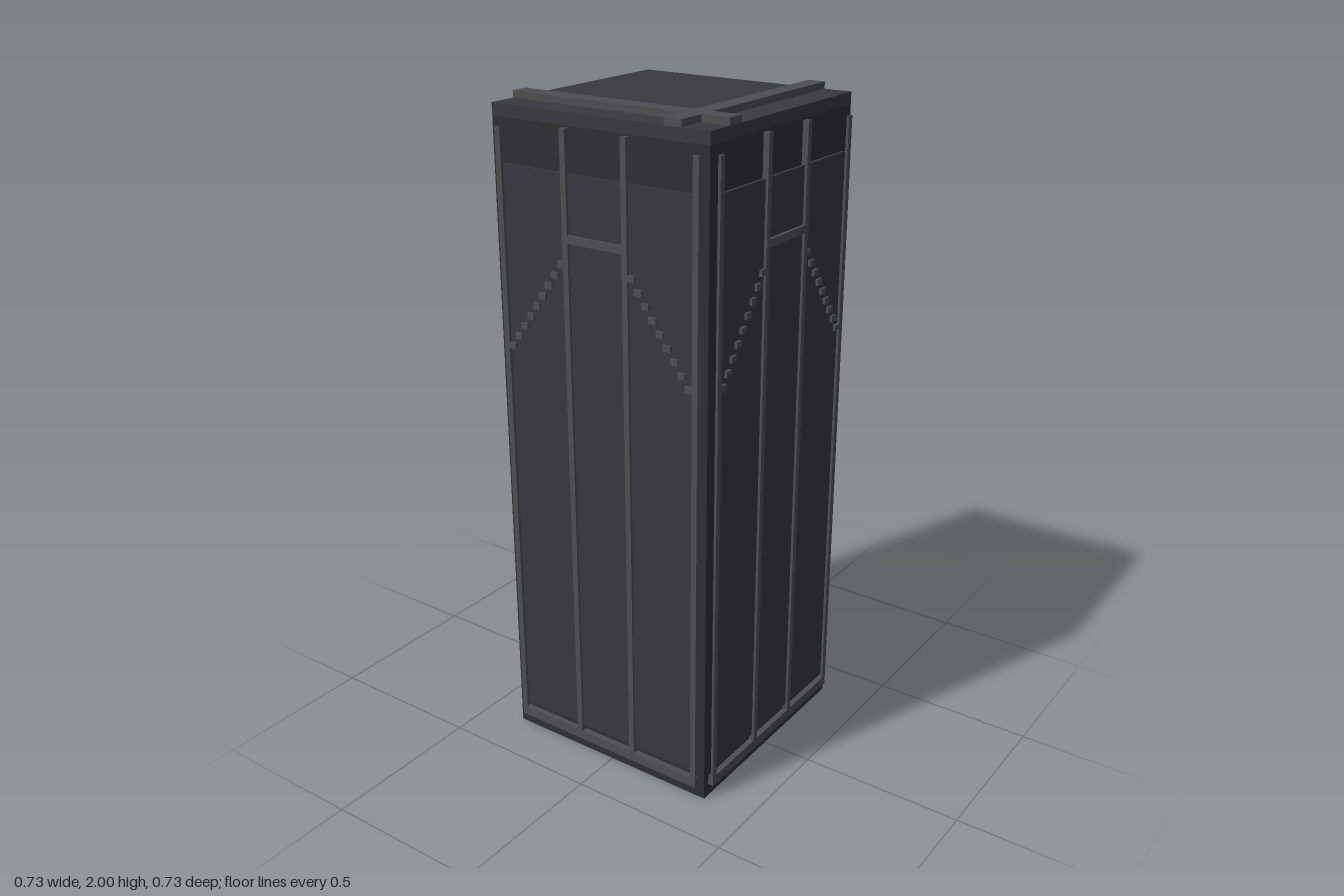
import * as THREE from 'three';

const C = -0.012; // centre of the body in x and z
const HALF = 0.355; // half width of the body

const mat = (color) => new THREE.MeshStandardMaterial({ color });

export function createModel() {
  const root = new THREE.Group();
  root.name = 'tower';
  const bodyMat = mat(0x2f2f32);
  const panelMat = mat(0x39383d);
  const trimMat = mat(0x4e4d51);

  // box given by its low and high corners
  const box = (parent, name, material, x0, x1, y0, y1, z0, z1) => {
    const mesh = new THREE.Mesh(new THREE.BoxGeometry(x1 - x0, y1 - y0, z1 - z0), material);
    mesh.position.set((x0 + x1) / 2, (y0 + y1) / 2, (z0 + z1) / 2);
    mesh.name = name;
    parent.add(mesh);
    return mesh;
  };

  const shell = new THREE.Group();
  shell.name = 'shell';
  shell.position.set(C, 0, C);
  root.add(shell);

  // body and roof slab
  box(shell, 'body', bodyMat, -HALF, HALF, 0, 1.945, -HALF, HALF);
  box(shell, 'roofSlab', panelMat, -HALF, HALF, 1.945, 1.98, -HALF, HALF);

  // crossing roof beams
  box(shell, 'roofBeamAlongX', trimMat, -HALF, HALF, 1.98, 2, 0.214, 0.268);
  box(shell, 'roofBeamAlongZ1', trimMat, 0.215, 0.269, 1.98, 2, -HALF, 0.214);
  box(shell, 'roofBeamAlongZ2', trimMat, 0.215, 0.269, 1.98, 2, 0.268, HALF);

  // one decorated side, built facing +z
  const makeFacade = (name) => {
    const g = new THREE.Group();
    g.name = name;
    const z0 = HALF, z1 = 0.365, z2 = 0.373;
    box(g, 'panel', panelMat, -0.315, 0.315, 0.09, 1.82, z0, z1);
    box(g, 'baseRail', trimMat, -0.333, 0.333, 0.04, 0.07, z0, z2);
    box(g, 'crossBar', trimMat, -0.109, 0.109, 1.634, 1.656, z1, z2 + 0.002);
    for (const s of [-1, 1]) {
      // inner and outer upright strips
      box(g, 'innerStrip', trimMat, s * 0.1 - 0.009, s * 0.1 + 0.009, 0.07, 1.94, z0, z2);
      box(g, 'outerStrip', trimMat, s * 0.325 - 0.009, s * 0.325 + 0.009, 0.04, 1.92, z1, z2);
      // stepped diagonal of small blocks
      for (let i = 0; i < 9; i++) {
        const x = s * (0.118 + i * 0.0233);
        const y = 1.57 - i * 0.0338;
        box(g, 'stepBlock', trimMat, x - 0.012, x + 0.012, y - 0.009, y + 0.009, z1, z2);
      }
    }
    shell.add(g);
    return g;
  };

  makeFacade('frontFacade');
  makeFacade('leftFacade').rotation.y = Math.PI / 2;

  return root;
}
